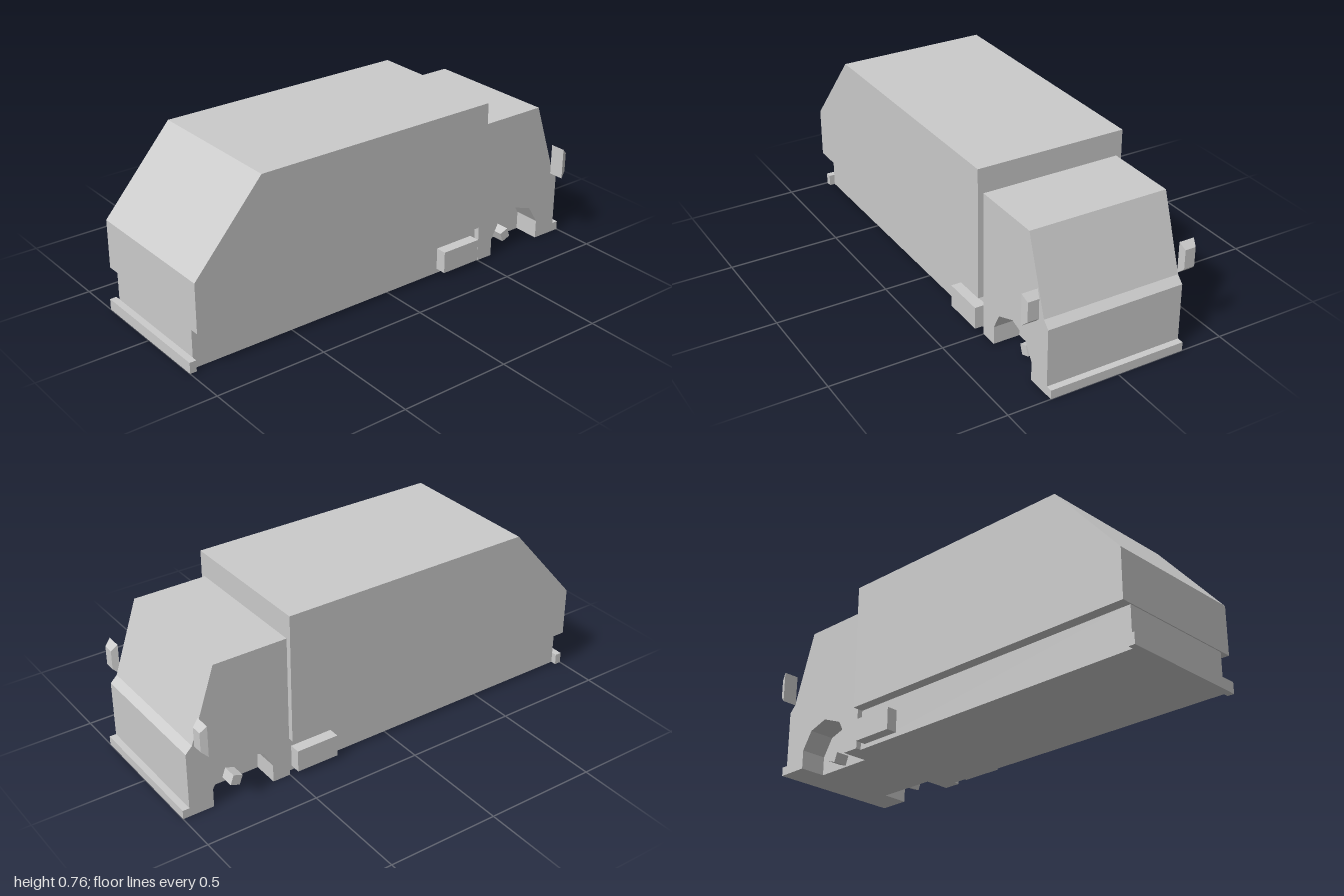
import * as THREE from 'three';

const material = new THREE.MeshStandardMaterial({ color: 0xcccccc, flatShading: true });

export function createModel() {
  const model = new THREE.Group();
  model.name = 'truck';

  const add = (name, geometry, x = 0, y = 0, z = 0) => {
    const mesh = new THREE.Mesh(geometry, material);
    mesh.name = name;
    mesh.position.set(x, y, z);
    model.add(mesh);
    return mesh;
  };

  // Box given by its lower and upper corners
  const box = (name, [x0, y0, z0], [x1, y1, z1]) =>
    add(name, new THREE.BoxGeometry(x1 - x0, y1 - y0, z1 - z0),
      (x0 + x1) / 2, (y0 + y1) / 2, (z0 + z1) / 2);

  // Side profile of [z, y] points, extruded across x
  const slab = (name, profile, width, x = 0) => {
    const shape = new THREE.Shape(profile.map(([z, y]) => new THREE.Vector2(z, y)));
    const geometry = new THREE.ExtrudeGeometry(shape, { depth: width, bevelEnabled: false });
    geometry.translate(0, 0, -width / 2).rotateY(-Math.PI / 2);
    return add(name, geometry, x);
  };

  // Cargo body with sloped end, and the narrower chassis below it
  slab('cargoBody', [[-0.5, 0.18], [0.975, 0.18], [0.975, 0.4], [0.66, 0.76], [-0.5, 0.76]], 0.67);
  box('chassis', [-0.285, 0, -0.5], [0.285, 0.18, 0.97]);

  // Cab: solid core between two outer slabs cut by the wheel arches
  const cabTop = [[-0.5, 0], [-0.5, 0.65], [-0.83, 0.65], [-0.94, 0.325], [-0.97, 0.295], [-0.97, 0]];
  const arch = [[-0.86, 0], [-0.86, 0.085], [-0.81, 0.165], [-0.72, 0.195],
    [-0.62, 0.155], [-0.58, 0.08], [-0.58, 0]];
  const coreHalf = 0.19, cabHalf = 0.31;
  slab('cabCore', cabTop, coreHalf * 2);

  // Bumpers at both ends
  box('cargoBumper', [-0.31, 0, 0.97], [0.31, 0.05, 1]);
  box('cabBumper', [-0.31, 0, -1], [0.31, 0.04, -0.97]);

  for (const [side, s] of [['left', 1], ['right', -1]]) {
    slab(side + 'CabSide', [...cabTop, ...arch], cabHalf - coreHalf, s * (cabHalf + coreHalf) / 2);

    // Axle stub inside the wheel arch
    const axle = add(side + 'AxleStub', new THREE.BoxGeometry(0.07, 0.045, 0.045), s * 0.22, 0.035, -0.72);
    axle.rotation.x = 0.35;

    // Side tank behind the cab
    const tank = box(side + 'Tank', [0.28, 0.02, -0.475], [0.335, 0.12, -0.28]);
    tank.position.x *= s;

    // Mirror, tapered towards the cab's nose
    const mirror = new THREE.BoxGeometry(0.07, 0.14, 0.028);
    const p = mirror.attributes.position;
    for (let i = 0; i < p.count; i++) {
      if (p.getZ(i) < 0) p.setXY(i, p.getX(i) * 0.7, p.getY(i) * 0.62);
    }
    mirror.computeVertexNormals();
    add(side + 'Mirror', mirror, s * 0.36, 0.384, -0.93);
  }

  return model;
}
